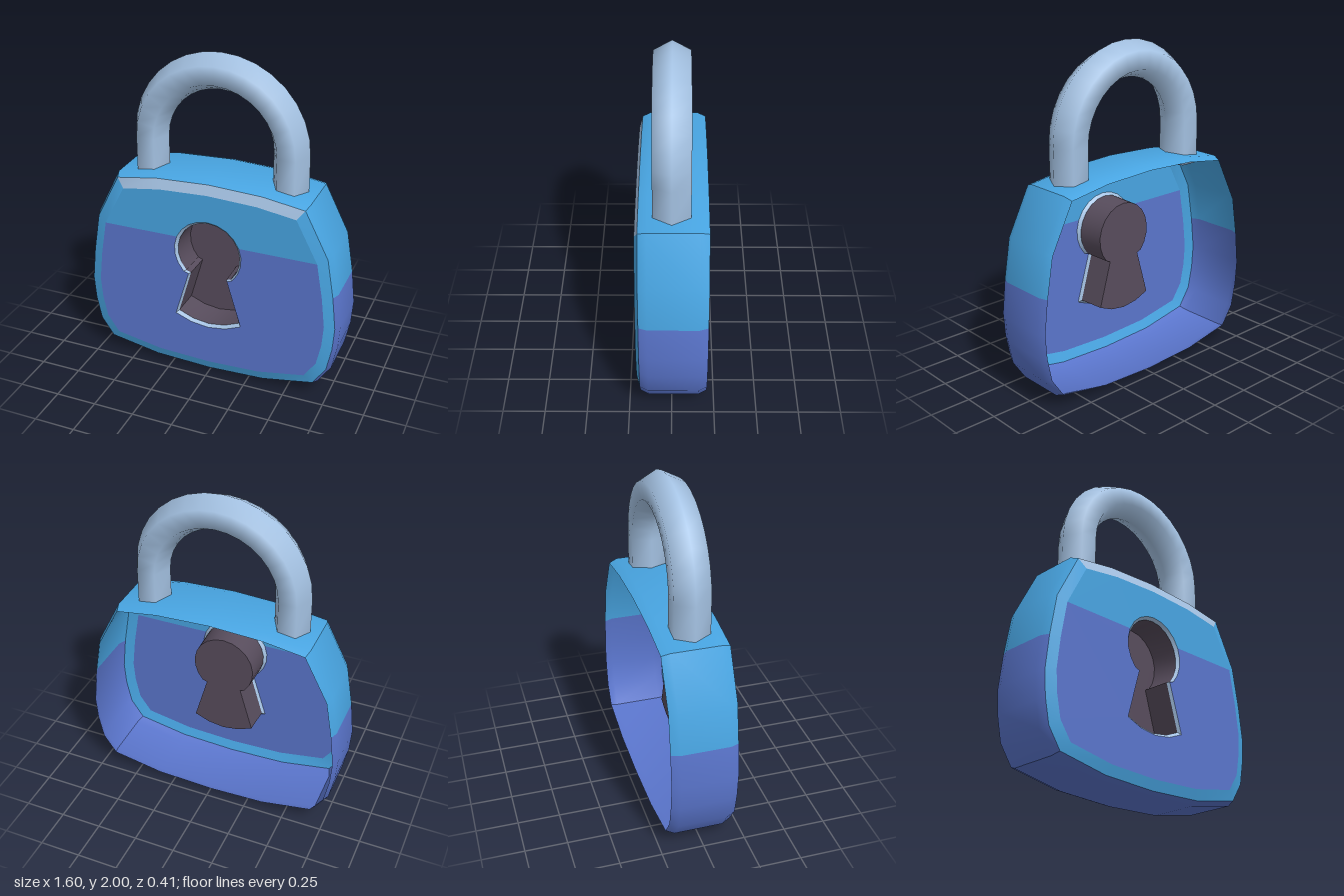
import * as THREE from 'three';
import { toCreasedNormals } from 'three/addons/utils/BufferGeometryUtils.js';

function material(name, color) {
  const m = new THREE.MeshStandardMaterial({ color, side: THREE.DoubleSide });
  m.name = name;
  return m;
}

// Mirrors a right-hand half profile (bottom to top, centre points included) into a closed loop.
const mirrorLoop = (half) => [...half, ...half.slice(1, -1).reverse().map(([x, y]) => [-x, y])];
const shapeOf = (pts) => new THREE.Shape(pts.map(([x, y]) => new THREE.Vector2(x, y)));
const atZ = (loop, z) => loop.map(([x, y]) => [x, y, z]);

// Joins closed rings of points; pick(y, x) gives the material index of each quad.
function loft(rings, pick = () => 0) {
  const n = rings[0].length;
  const buckets = [[], [], []];
  for (let r = 0; r < rings.length - 1; r++) {
    for (let i = 0; i < n; i++) {
      const j = (i + 1) % n;
      const a = r * n + i, b = r * n + j, c = b + n, d = a + n;
      const y = (rings[r][i][1] + rings[r][j][1]) / 2;
      const x = (rings[r][i][0] + rings[r][j][0]) / 2;
      buckets[pick(y, x)].push(a, b, c, a, c, d);
    }
  }
  const geo = new THREE.BufferGeometry();
  geo.setAttribute('position', new THREE.Float32BufferAttribute(rings.flat(2), 3));
  geo.setIndex(buckets.flat());
  let start = 0;
  buckets.forEach((list, k) => {
    if (list.length) geo.addGroup(start, list.length, k);
    start += list.length;
  });
  geo.computeVertexNormals();
  return geo;
}

export function createModel() {
  const blue = material('skyBlue', 0x48a5e2);
  const indigo = material('indigo', 0x5a75cc);
  const steel = material('paleSteel', 0xa6c4e5);
  const dark = material('darkPlum', 0x574c5c);
  const paints = [blue, indigo, steel];

  const group = new THREE.Group();
  group.name = 'padlock';
  const add = (name, geo, mat) => {
    const mesh = new THREE.Mesh(geo, mat);
    mesh.name = name;
    group.add(mesh);
    return mesh;
  };

  // Body outline, shrunk towards its middle by d
  const outline = mirrorLoop([
    [0, 0.005], [0.36, 0.02], [0.68, 0.08], [0.76, 0.2], [0.79, 0.35], [0.8, 0.5],
    [0.777, 0.71], [0.735, 0.958], [0.59, 1.245], [0.33, 1.285], [0, 1.3],
  ]);
  const inset = (d) => outline.map(([x, y]) => [x * (1 - d / 0.8), 0.65 + (y - 0.65) * (1 - d / 0.65)]);
  const frontZ = 0.205;

  // Side walls, open at the back
  const walls = loft(
    [[0.02, -0.205], [0, -0.155], [0, 0.135], [0.02, 0.185]].map(([d, z]) => atZ(inset(d), z)),
    (y) => (y > 0.71 ? 0 : 1));
  add('bodyWalls', toCreasedNormals(walls, 0.7), paints);

  // Front rim with a pale highlight along the top
  const rim = loft([atZ(inset(0.02), 0.185), atZ(inset(0.08), frontZ)], (y) => (y > 1.2 ? 2 : 0));
  add('frontRim', toCreasedNormals(rim, 0.7), paints);

  // Keyhole outline, starting on the right where the two panel colours meet
  const cy = 0.84, r = 0.21, splitY = 0.92;
  const a0 = Math.asin((splitY - cy) / r);
  const arc = (from, to, steps) => Array.from({ length: steps + 1 }, (_, i) => {
    const a = from + ((to - from) * i) / steps;
    return [Math.cos(a) * r, cy + Math.sin(a) * r];
  });
  const keyTop = arc(a0, Math.PI - a0, 8);
  const keyLeft = [...arc(Math.PI - a0, Math.PI + 0.75, 4), [-0.122, 0.685], [-0.21, 0.39], [-0.11, 0.35]];
  const keyLow = [...keyLeft, [0, 0.335], ...keyLeft.map(([x, y]) => [-x, y]).reverse()];
  const keyhole = [...keyTop, ...keyLow.slice(1, -1)];
  const keyInset = (s, t) => keyhole.map(([x, y]) => [x * s, 0.7 + (y - 0.7) * t]);

  // Front panel, split into an upper and a lower colour around the keyhole
  const panel = inset(0.08);
  const right = panel.slice(0, 8);
  const left = panel.slice(13);
  const upper = [...panel.slice(7, 14), ...keyTop.slice().reverse()];
  const lower = [...left, ...right, ...keyLow.slice().reverse()];
  add('upperPanel', new THREE.ShapeGeometry(shapeOf(upper)).translate(0, 0, frontZ), blue);
  add('lowerPanel', new THREE.ShapeGeometry(shapeOf(lower)).translate(0, 0, frontZ), indigo);

  // Keyhole bevel, pocket sides and pocket floor
  const mouth = keyInset(0.925, 0.955);
  const floor = keyInset(0.9, 0.94);
  add('keyholeRim', toCreasedNormals(loft([atZ(keyhole, frontZ), atZ(mouth, 0.188)]), 0.6), steel);
  add('keyholeSides', toCreasedNormals(loft([atZ(mouth, 0.188), atZ(floor, 0.02)]), 0.6), dark);
  add('keyholeFloor', new THREE.ShapeGeometry(shapeOf(floor)).translate(0, 0, 0.02), dark);

  // Shackle: six-sided bar swept up one leg, over the arch and down the other
  const R = 0.428, archY = 1.465, legY = 1.2, steps = 16;
  const section = (a, y, size = 1) => Array.from({ length: 6 }, (_, k) => {
    const t = (k * Math.PI) / 3;
    const rad = R + Math.cos(t) * 0.107 * size;
    return [Math.cos(a) * rad, y + Math.sin(a) * rad, -Math.sin(t) * 0.121 * size];
  });
  const bar = [section(0, legY, 0), section(0, legY + 0.01, 0.9), section(0, legY + 0.04)];
  for (let i = 0; i <= steps; i++) bar.push(section((Math.PI * i) / steps, archY));
  bar.push(section(Math.PI, legY + 0.04), section(Math.PI, legY + 0.01, 0.9), section(Math.PI, legY, 0));
  add('shackle', loft(bar), steel);

  return group;
}
